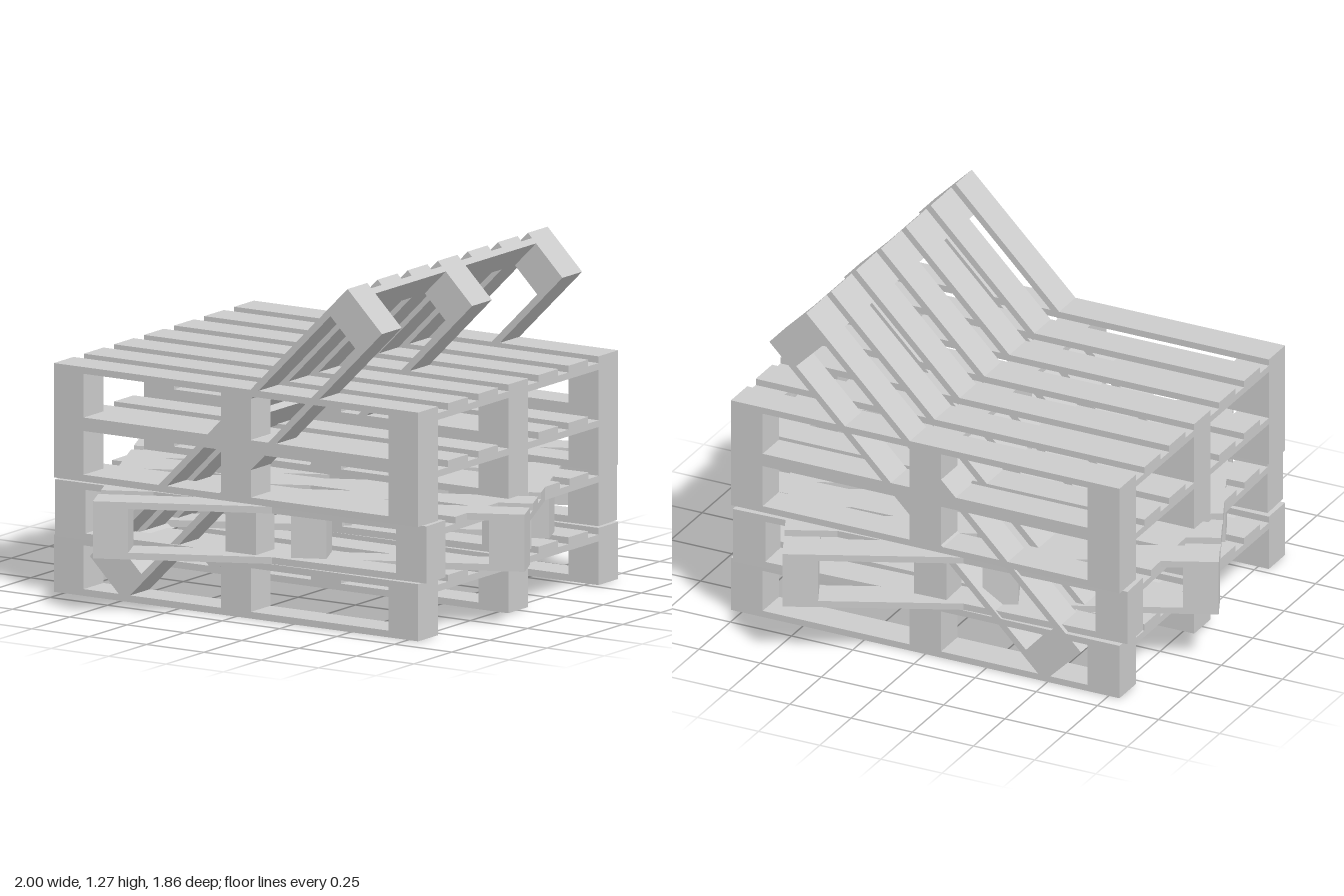
import * as THREE from 'three';

const L = 1.588, W = 1.32, H = 0.2125; // pallet length, width, height
const T = 0.025, B = 0.13;             // board thickness, board and block width
const ROWS = [-1, 0, 1];

const material = new THREE.MeshStandardMaterial({ color: 0xcccccc, flatShading: true });

function addBox(parent, name, size, position) {
  const mesh = new THREE.Mesh(new THREE.BoxGeometry(...size), material);
  mesh.name = name;
  mesh.position.set(...position);
  parent.add(mesh);
}

// One pallet, centred on its own origin with the deck facing +y
function createPallet(name) {
  const pallet = new THREE.Group();
  pallet.name = name;
  const endX = (L - B) / 2, endZ = (W - B) / 2;
  const blockH = H - 3 * T;

  // Seven deck boards along the length
  for (let i = 0; i < 7; i++) {
    addBox(pallet, 'deckBoard', [L, T, B], [0, H / 2 - T / 2, -endZ + (i * endZ) / 3]);
  }
  // Three cross boards under the deck, three runners at the bottom, nine blocks between
  for (const i of ROWS) {
    addBox(pallet, 'crossBoard', [B, T, W], [i * endX, H / 2 - T * 1.5, 0]);
    addBox(pallet, 'bottomRunner', [L, T, B], [0, -H / 2 + T / 2, i * endZ]);
    for (const j of ROWS) {
      addBox(pallet, 'spacerBlock', [B, blockH, B], [i * endX, -H / 2 + T + blockH / 2, j * endZ]);
    }
  }
  return pallet;
}

export function createModel() {
  const model = new THREE.Group();
  model.name = 'palletStack';
  const deg = THREE.MathUtils.degToRad;

  // name, centre height, turn about y, tilt about z
  const placements = [
    ['bottomPallet', H * 0.5, 0, 0],
    ['slightlyTurnedPallet', H * 1.5, 1.8, 0],
    ['turnedPallet', H * 1.5, 24.8, 0],
    ['thirdPallet', H * 2.5, 0, 0],
    ['topPallet', H * 3.5, 0, 0],
    ['leaningPallet', 0.637, 0, 45],
  ];
  for (const [name, y, turn, tilt] of placements) {
    const pallet = createPallet(name);
    pallet.position.y = y;
    pallet.rotation.set(0, deg(turn), deg(tilt));
    model.add(pallet);
  }
  return model;
}
